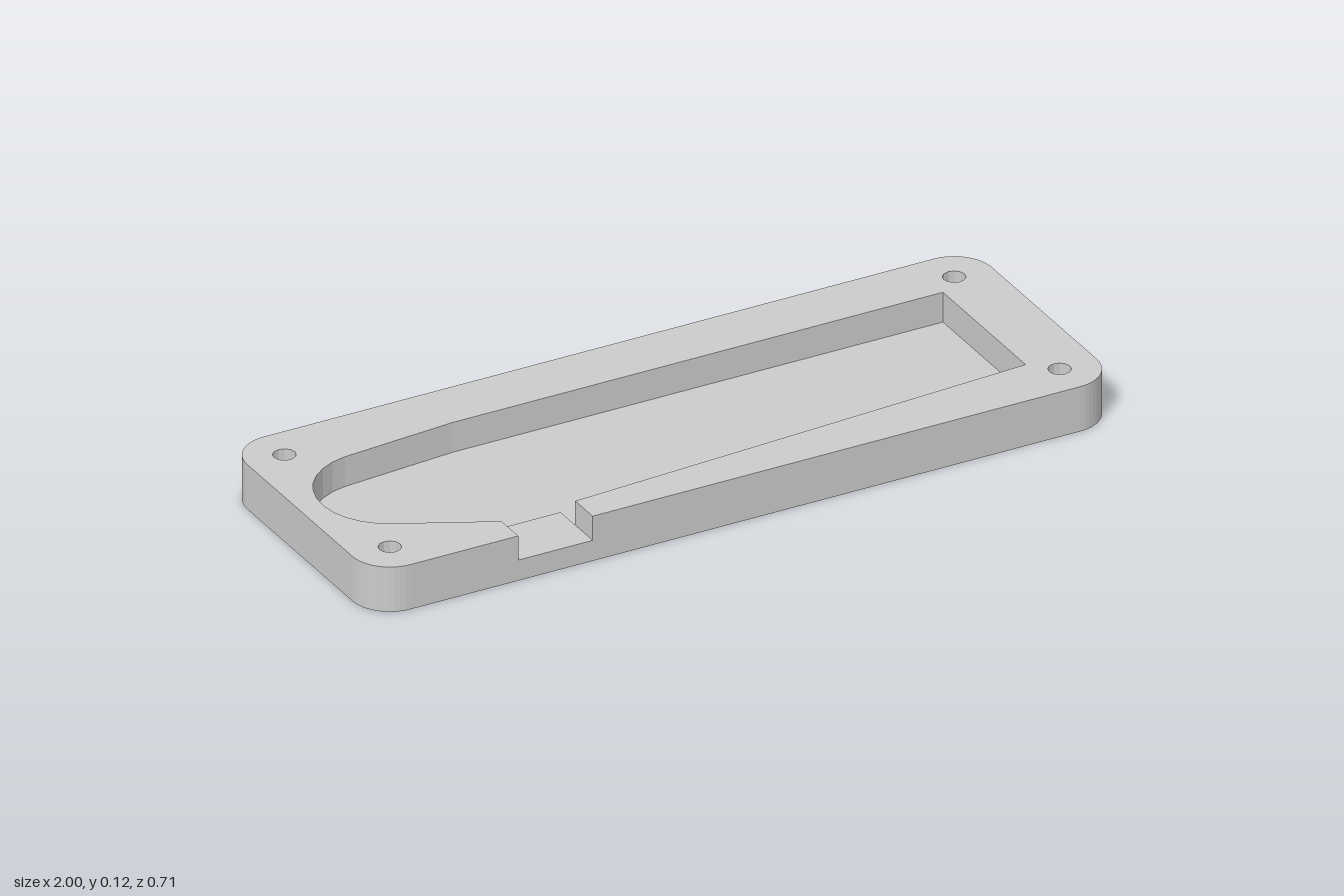
import * as THREE from 'three';

const W = 1, D = 0.357, R = 0.1;            // half width, half depth, corner radius
const H = 0.12, SHELF = 0.055, FLOOR = 0.04, RECESS = 0.02;
const HOLE_X = 0.9, HOLE_Z = 0.257;
const corners = [[1, 1], [-1, 1], [-1, -1], [1, -1]];

// Adds the rounded outer edge to a path, starting and ending on the front side (shape y = model z)
function outerEdge(path, startX, endX, inset = 0) {
  const w = W - inset, d = D - inset, r = R - inset;
  path.moveTo(startX, d);
  path.lineTo(w - r, d);
  path.absarc(w - r, d - r, r, Math.PI / 2, 0, true);
  path.absarc(w - r, -d + r, r, 0, -Math.PI / 2, true);
  path.absarc(-w + r, -d + r, r, -Math.PI / 2, -Math.PI, true);
  path.absarc(-w + r, d - r, r, Math.PI, Math.PI / 2, true);
  path.lineTo(endX, d);
  return path;
}

// Pocket edge from the left lip of the front notch round to its right lip
function pocketEdge(path) {
  path.lineTo(-0.61, 0.275);
  path.lineTo(-0.837, 0.162);
  path.absarc(-0.76, 0, 0.18, 2.015, 4.6, false);
  path.lineTo(-0.48, -0.203);
  path.lineTo(0.84, -0.203);
  path.lineTo(0.84, 0.2);
  path.lineTo(-0.41, 0.272);
  return path;
}

function hexagon(path, x, z, r) {
  const points = [];
  for (let i = 0; i < 6; i++) {
    const a = i * Math.PI / 3;
    points.push(new THREE.Vector2(x + r * Math.cos(a), z + r * Math.sin(a)));
  }
  return path.setFromPoints(points);
}

function addCornerHoles(shape, kind) {
  for (const [sx, sz] of corners) {
    const x = sx * HOLE_X, z = sz * HOLE_Z;
    shape.holes.push(kind === 'nut'
      ? hexagon(new THREE.Path(), x, z, 0.046)
      : new THREE.Path().absarc(x, z, 0.028, 0, Math.PI * 2, false));
  }
  return shape;
}

export function createModel() {
  const group = new THREE.Group();
  const material = new THREE.MeshStandardMaterial({ color: 0xcccccc });

  // Horizontal slab of the given outline between two heights
  function slab(name, shape, bottom, top) {
    const geometry = new THREE.ExtrudeGeometry(shape, {
      depth: top - bottom, bevelEnabled: false, curveSegments: 6,
    });
    geometry.rotateX(Math.PI / 2);
    geometry.translate(0, top, 0);
    const mesh = new THREE.Mesh(geometry, material);
    mesh.name = name;
    group.add(mesh);
  }

  // Thin lip around the underside recess
  const rim = outerEdge(new THREE.Shape(), 0, 0);
  rim.holes.push(outerEdge(new THREE.Path(), 0, 0, 0.03));
  slab('bottomRim', rim, 0, RECESS);

  // Hexagonal corner bosses with nut pockets
  for (const [sx, sz] of corners) {
    const boss = hexagon(new THREE.Shape(), sx * HOLE_X, sz * HOLE_Z, 0.1);
    boss.holes.push(hexagon(new THREE.Path(), sx * HOLE_X, sz * HOLE_Z, 0.046));
    slab('nutBoss', boss, 0, RECESS);
  }

  // Pocket floor
  slab('floorPlate', addCornerHoles(outerEdge(new THREE.Shape(), 0, 0), 'nut'), RECESS, FLOOR);

  // Lower wall, including the raised shelf below the notch
  const lower = addCornerHoles(outerEdge(new THREE.Shape(), 0, 0), 'nut');
  const pocket = new THREE.Path();
  pocket.moveTo(-0.41, 0.2);
  pocket.lineTo(-0.61, 0.2);
  lower.holes.push(pocketEdge(pocket));
  slab('lowerWall', lower, FLOOR, SHELF);

  // Upper wall, open at the front notch
  const upper = pocketEdge(outerEdge(new THREE.Shape(), -0.41, -0.61));
  slab('upperWall', addCornerHoles(upper, 'bolt'), SHELF, H);

  return group;
}
